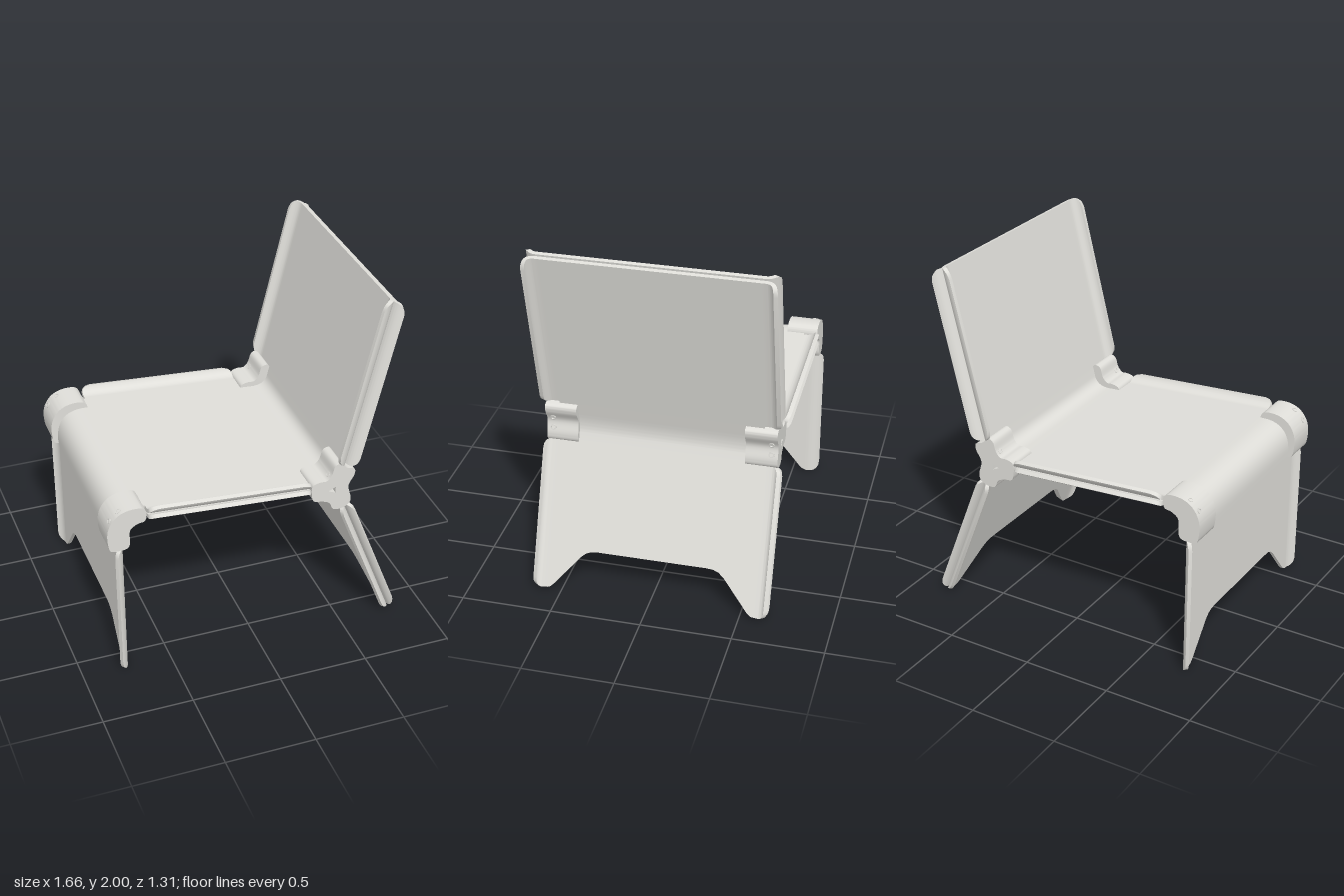
import * as THREE from 'three';
import { toCreasedNormals } from 'three/addons/utils/BufferGeometryUtils.js';

const PLY = 0.022;

// Direction of a panel line and its normal on the chosen side (+1 = left of a -> b)
function panelFrame({ a, b, side }) {
  const A = new THREE.Vector2(...a), B = new THREE.Vector2(...b);
  const d = B.clone().sub(A).normalize();
  return { A, B, d, n: new THREE.Vector2(-d.y, d.x).multiplyScalar(side) };
}

// Sheet panel with its long side edges curled; lift(z) shortens the far end
function panelGeometry(panel, { R, angle, corner }, lift = () => 0) {
  const { A, B, d, n } = panelFrame(panel);
  const len = A.distanceTo(B);
  const z0 = 0.655 - R * Math.sin(angle);
  const half = [0, 0.15, 0.3, 0.32, 0.34, 0.355, 0.37, 0.385, 0.4, 0.47, 0.54, 0.55, 0.56, 0.57]
    .map((z) => ({ z, h: 0, t: 0, inset: 0 }));
  for (let i = 0; i <= 14; i++) {
    const t = angle * i / 14;
    const left = Math.max(0, corner - R * (angle - t));
    const inset = corner - Math.sqrt(corner * corner - left * left);
    half.push({ z: z0 + R * Math.sin(t), h: R * (1 - Math.cos(t)), t, inset });
  }
  const cols = [...half.slice(1).reverse().map((c) => ({ ...c, z: -c.z, t: -c.t })), ...half];
  const pos = [], idx = [];
  for (const c of cols) {
    const u0 = c.inset, u1 = len - c.inset - lift(Math.abs(c.z));
    for (const [u, k] of [[u0, 0], [u1, 0], [u1, PLY], [u0, PLY]]) {
      const h = c.h + k * Math.cos(c.t);
      pos.push(A.x + d.x * u + n.x * h, A.y + d.y * u + n.y * h, c.z - k * Math.sin(c.t));
    }
  }
  const quad = (p, q, r, s) => (panel.side > 0 ? idx.push(p, q, r, p, r, s) : idx.push(p, r, q, p, s, r));
  for (let i = 0; i < cols.length - 1; i++) {
    for (let j = 0; j < 4; j++) {
      const k = (j + 1) % 4;
      quad(i * 4 + j, i * 4 + k, i * 4 + 4 + k, i * 4 + 4 + j);
    }
  }
  const e = (cols.length - 1) * 4;
  quad(3, 2, 1, 0);
  quad(e, e + 1, e + 2, e + 3);
  const g = new THREE.BufferGeometry();
  g.setAttribute('position', new THREE.Float32BufferAttribute(pos, 3));
  g.setIndex(idx);
  return toCreasedNormals(g, 0.6);
}

// Narrow strip of sheet that carries on from one panel end and bends into another;
// k is how much of the way to the corner is rounded
function bendGeometry(p, endP, q, endQ, k) {
  const [P, Q] = [[p, endP], [q, endQ]].map(([panel, end]) => {
    const { A, B, d, n } = panelFrame(panel);
    return { o: (end === 'a' ? A : B).clone().addScaledVector(n, PLY / 2), d };
  });
  const s = Q.o.clone().sub(P.o).cross(Q.d) / P.d.cross(Q.d);
  const C = P.o.clone().addScaledVector(P.d, s);
  const curve = new THREE.QuadraticBezierCurve(C.clone().lerp(P.o, k), C, C.clone().lerp(Q.o, k));
  const pts = [P.o, ...curve.getPoints(16), Q.o];
  const offset = (w) => pts.map((v, i) => {
    const t = pts[Math.min(i + 1, pts.length - 1)].clone().sub(pts[Math.max(i - 1, 0)]).normalize();
    return new THREE.Vector2(v.x - t.y * w, v.y + t.x * w);
  });
  const shape = new THREE.Shape([...offset(PLY / 2), ...offset(-PLY / 2).reverse()]);
  const g = new THREE.ExtrudeGeometry(shape, { depth: 1.12, bevelEnabled: false });
  return toCreasedNormals(g.translate(0, 0, -0.56), 0.6);
}

// Clamp body: smooth outline extruded across its width
function clampGeometry(outline, holes = []) {
  const curve = new THREE.CatmullRomCurve3(outline.map(([x, y]) => new THREE.Vector3(x, y, 0)), true);
  const shape = new THREE.Shape(curve.getPoints(90).map((p) => new THREE.Vector2(p.x, p.y)));
  shape.holes = holes.map((h) => new THREE.Path(h.map((p) => new THREE.Vector2(...p))));
  const g = new THREE.ExtrudeGeometry(shape, { depth: 0.175, bevelEnabled: false });
  return toCreasedNormals(g, 0.6);
}

export function createModel() {
  const group = new THREE.Group();
  const sheet = new THREE.MeshStandardMaterial({ color: 0xdfded9 });
  sheet.name = 'warm light grey';
  const add = (name, geometry) => {
    const m = new THREE.Mesh(geometry, sheet);
    m.name = name;
    group.add(m);
    return m;
  };

  // Arched cut-out between the feet
  const arch = [[0.3, 0.235], [0.34, 0.232], [0.37, 0.22], [0.4, 0.195], [0.54, 0.025], [0.56, 0.007], [0.58, 0]];
  const lift = (z) => {
    if (z <= arch[0][0]) return arch[0][1];
    for (let i = 1; i < arch.length; i++) {
      const [p, q] = [arch[i - 1], arch[i]];
      if (z <= q[0]) return THREE.MathUtils.mapLinear(z, p[0], q[0], p[1], q[1]);
    }
    return 0;
  };

  // Panel lines in side profile: both seat plies curl upwards, back and rear leg plies curl apart
  const seatTop = { a: [-0.607, 0.981], b: [0.305, 0.921], side: 1 };
  const seatUnder = { a: [-0.607, 0.957], b: [0.305, 0.897], side: 1 };
  const backFront = { a: [0.505, 1.043], b: [0.736, 1.994], side: 1 };
  const backRear = { a: [0.505, 1.043], b: [0.733, 1.983], side: -1 };
  const rearLegOuter = { a: [0.503, 0.787], b: [0.803, 0.012], side: 1 };
  const rearLegInner = { ...rearLegOuter, side: -1 };
  const frontLeg = { a: [-0.744, 0.81], b: [-0.738, 0], side: -1 };
  const frontLip = { a: [-0.8, 0.81], b: [-0.8, 0], side: 1 };

  const legRim = { R: 0.06, angle: 1.1, corner: 0.055 };
  add('seatTop', panelGeometry(seatTop, { R: 0.085, angle: 1.2, corner: 0.05 }));
  add('seatUnderside', panelGeometry(seatUnder, { R: 0.085, angle: 0.75, corner: 0.045 }));
  add('backrestFront', panelGeometry(backFront, { R: 0.07, angle: 1.5, corner: 0.06 }));
  add('backrestRear', panelGeometry(backRear, { R: 0.065, angle: 1.4, corner: 0.055 }));
  add('rearLegOuter', panelGeometry(rearLegOuter, legRim, lift));
  add('rearLegInner', panelGeometry(rearLegInner, legRim, lift));
  add('frontLeg', panelGeometry(frontLeg, { R: 0.085, angle: 1.05, corner: 0.055 }, lift));

  // Bends joining the panels
  add('seatToBackBend', bendGeometry(seatTop, 'b', backFront, 'a', 0.6));
  add('backToLegBend', bendGeometry(backRear, 'a', rearLegOuter, 'a', 0.5));
  add('legToSeatBend', bendGeometry(rearLegInner, 'a', seatUnder, 'b', 0.65));
  add('frontBendOuter', bendGeometry(seatTop, 'a', frontLip, 'a', 0.85));
  add('frontBendInner', bendGeometry(seatUnder, 'a', frontLeg, 'a', 0.85));

  // Corner clamps
  const frontClamp = clampGeometry([
    [-0.825, 0.82], [-0.815, 0.807], [-0.73, 0.807], [-0.715, 0.83], [-0.71, 0.92], [-0.67, 0.95],
    [-0.63, 0.96], [-0.62, 1.01], [-0.64, 1.04], [-0.72, 1.045], [-0.78, 1.02], [-0.82, 0.97], [-0.835, 0.91],
  ]);
  const rearClamp = clampGeometry([
    [0.31, 0.955], [0.353, 0.97], [0.39, 0.97], [0.416, 0.997], [0.438, 1.056], [0.47, 1.066],
    [0.5, 1.034], [0.55, 1.013], [0.55, 0.98], [0.517, 0.912], [0.533, 0.838], [0.528, 0.8],
    [0.485, 0.775], [0.432, 0.78], [0.411, 0.822], [0.369, 0.843], [0.32, 0.854], [0.305, 0.9],
  ].reverse(), [[[0.402, 0.902], [0.443, 0.921], [0.443, 0.884]]]);

  // Socket-head bolts: position and outward direction
  const bolts = [
    [-0.762, 1.03, -0.5, 0.87], [-0.814, 0.98, -0.9, 0.45],
    [0.412, 0.988, -0.8, 0.6], [0.526, 0.93, 0.95, -0.3], [0.526, 0.87, 0.98, 0.15],
  ];
  const boltGeometry = toCreasedNormals(new THREE.LatheGeometry(
    [[0.016, -0.012], [0.016, 0.01], [0.01, 0.01], [0.01, 0.004], [0, 0.004]].map((p) => new THREE.Vector2(...p)), 18), 0.6);
  const up = new THREE.Vector3(0, 1, 0);
  for (const s of [1, -1]) {
    const z = s > 0 ? 0.46 : -0.635;
    add('frontClamp', frontClamp).position.z = z;
    add('rearClamp', rearClamp).position.z = z;
    for (const [x, y, nx, ny] of bolts) {
      const bolt = add('bolt', boltGeometry);
      bolt.position.set(x - nx * 0.006, y - ny * 0.006, s * 0.6);
      bolt.quaternion.setFromUnitVectors(up, new THREE.Vector3(nx, ny, 0).normalize());
    }
  }
  return group;
}
